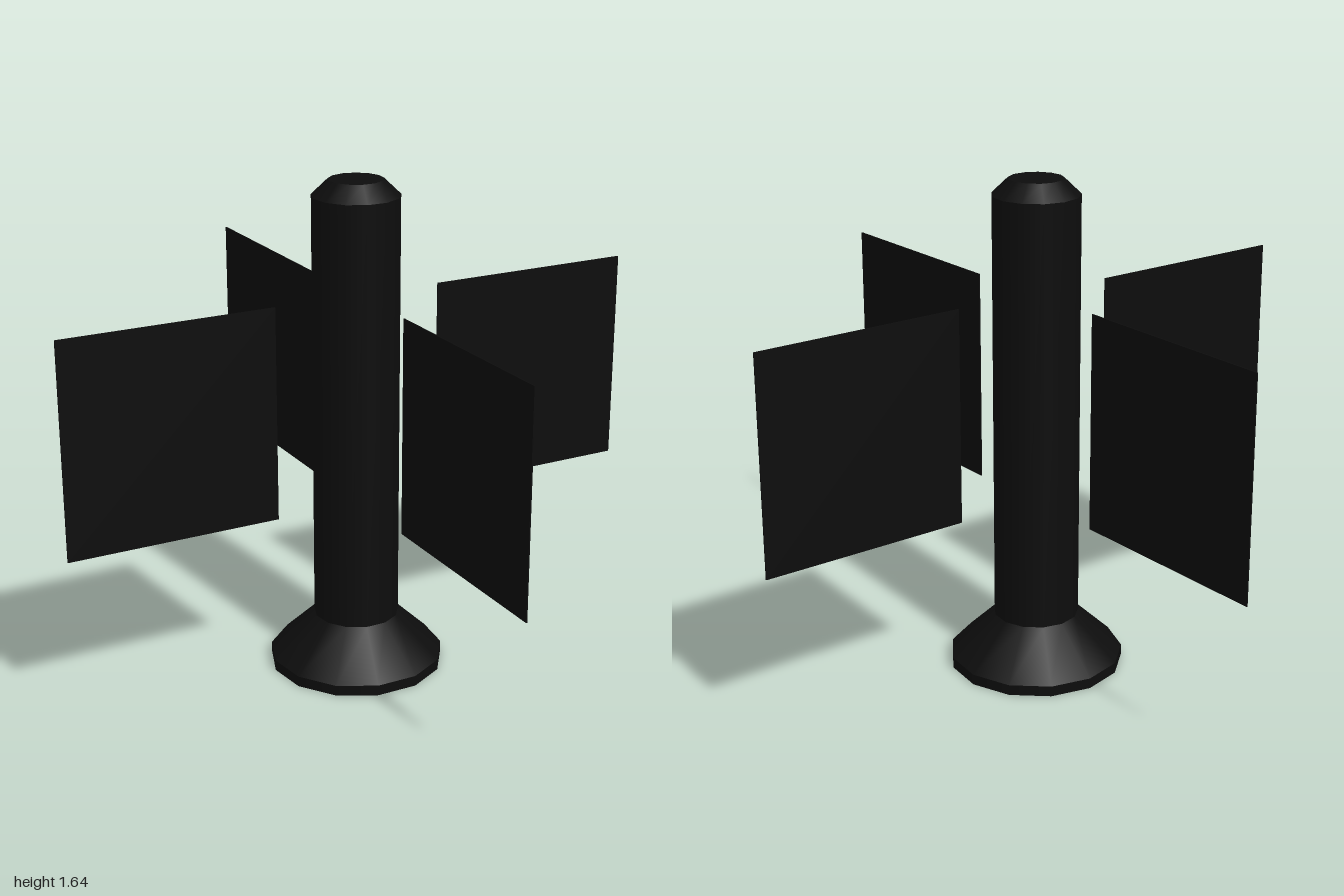
import * as THREE from 'three';

export function createModel() {
  const model = new THREE.Group();
  const black = new THREE.MeshStandardMaterial({ color: 0x0d0d0d });
  black.name = 'near black';

  const SIDES = 13;

  // Central column: stacked 13-sided sections with crisp rings between them
  const column = new THREE.Group();
  column.name = 'column';
  column.position.set(-0.003, 0, -0.008);
  column.rotation.y = Math.PI;
  model.add(column);

  function section(name, rBottom, rTop, y0, y1) {
    const geometry = new THREE.CylinderGeometry(rTop, rBottom, y1 - y0, SIDES, 1, true);
    const mesh = new THREE.Mesh(geometry, black);
    mesh.name = name;
    mesh.position.y = (y0 + y1) / 2;
    column.add(mesh);
  }
  section('baseRim', 0.288, 0.288, 0, 0.035);
  section('baseFlare', 0.288, 0.141, 0.035, 0.175);
  section('body', 0.141, 0.141, 0.175, 1.587);
  section('noseChamfer', 0.141, 0.088, 1.587, 1.638);

  // End caps, sharing the corners of the sections
  function cap(name, radius, y, tilt, start) {
    const mesh = new THREE.Mesh(new THREE.CircleGeometry(radius, SIDES, start), black);
    mesh.name = name;
    mesh.rotation.x = tilt;
    mesh.position.y = y;
    column.add(mesh);
  }
  cap('noseCap', 0.088, 1.638, -Math.PI / 2, -Math.PI / 2);
  cap('baseCap', 0.288, 0, Math.PI / 2, Math.PI / 2);

  // Four thin square panels floating around the column
  const panelGeometry = new THREE.BoxGeometry(0.71, 0.706, 0.004);
  ['leftPanel', 'backPanel', 'rightPanel', 'frontPanel'].forEach((name, i) => {
    const angle = (i * Math.PI) / 2;
    const panel = new THREE.Mesh(panelGeometry, black);
    panel.name = name;
    panel.position.set(0.645 * Math.cos(angle), 0.916, -0.645 * Math.sin(angle));
    panel.rotation.y = angle;
    model.add(panel);
  });

  return model;
}
